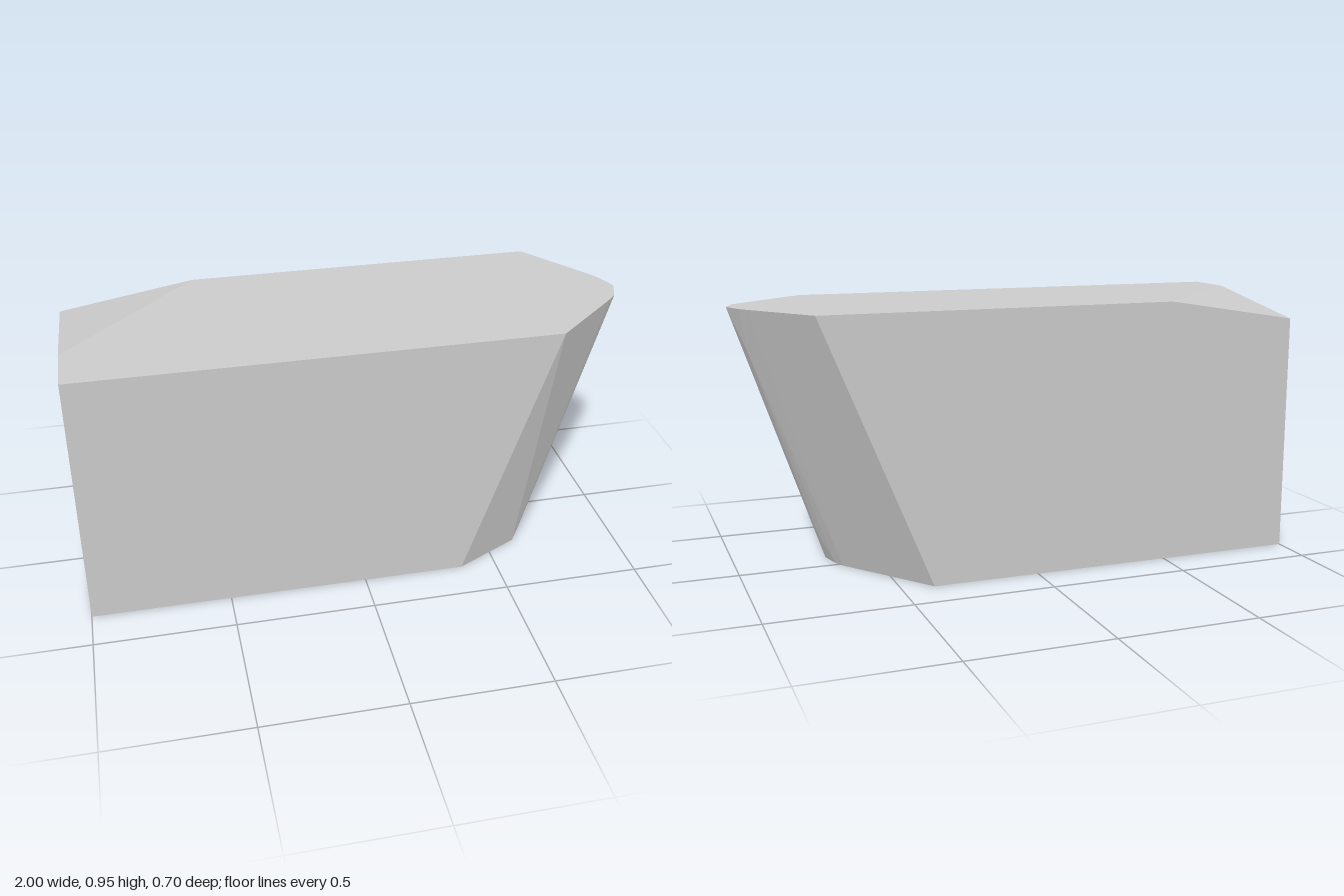
import * as THREE from 'three';
import { ConvexGeometry } from 'three/addons/geometries/ConvexGeometry.js';

const HEIGHT = 0.95;

// Outlines as [x, z], running from the front face round the nose to the back
const topOutline = [
  [-1, 0.35], [0.69, 0.35], [0.94, 0.13], [0.97, 0.1], [1, 0.02],
  [0.97, -0.06], [0.945, -0.1], [0.77, -0.35], [-0.51, -0.35], [-1, 0.15],
];
const bottomOutline = [
  [-1, 0.35], [0.37, 0.35], [0.61, 0.23], [0.65, 0.17], [0.67, 0.1],
  [0.65, 0.02], [0.63, -0.02], [0.385, -0.35], [-1, -0.35],
];

const atHeight = (outline, y) => outline.map(([x, z]) => new THREE.Vector3(x, y, z));

export function createModel() {
  const group = new THREE.Group();
  const points = [
    ...atHeight(topOutline, HEIGHT),
    ...atHeight(bottomOutline, 0),
    // Lowered corner that forms the sloping triangular facet
    new THREE.Vector3(-1, 0.87, -0.35),
    // Small facets along the slanted nose
    ...atHeight([[0.7, 0.13], [0.705, 0.055]], 0.11),
    ...atHeight([[0.94, 0.07], [0.94, -0.02]], 0.8),
  ];
  const block = new THREE.Mesh(
    new ConvexGeometry(points),
    new THREE.MeshStandardMaterial({ color: 0xcccccc, flatShading: true }),
  );
  block.name = 'slantedBlock';
  group.add(block);
  return group;
}
